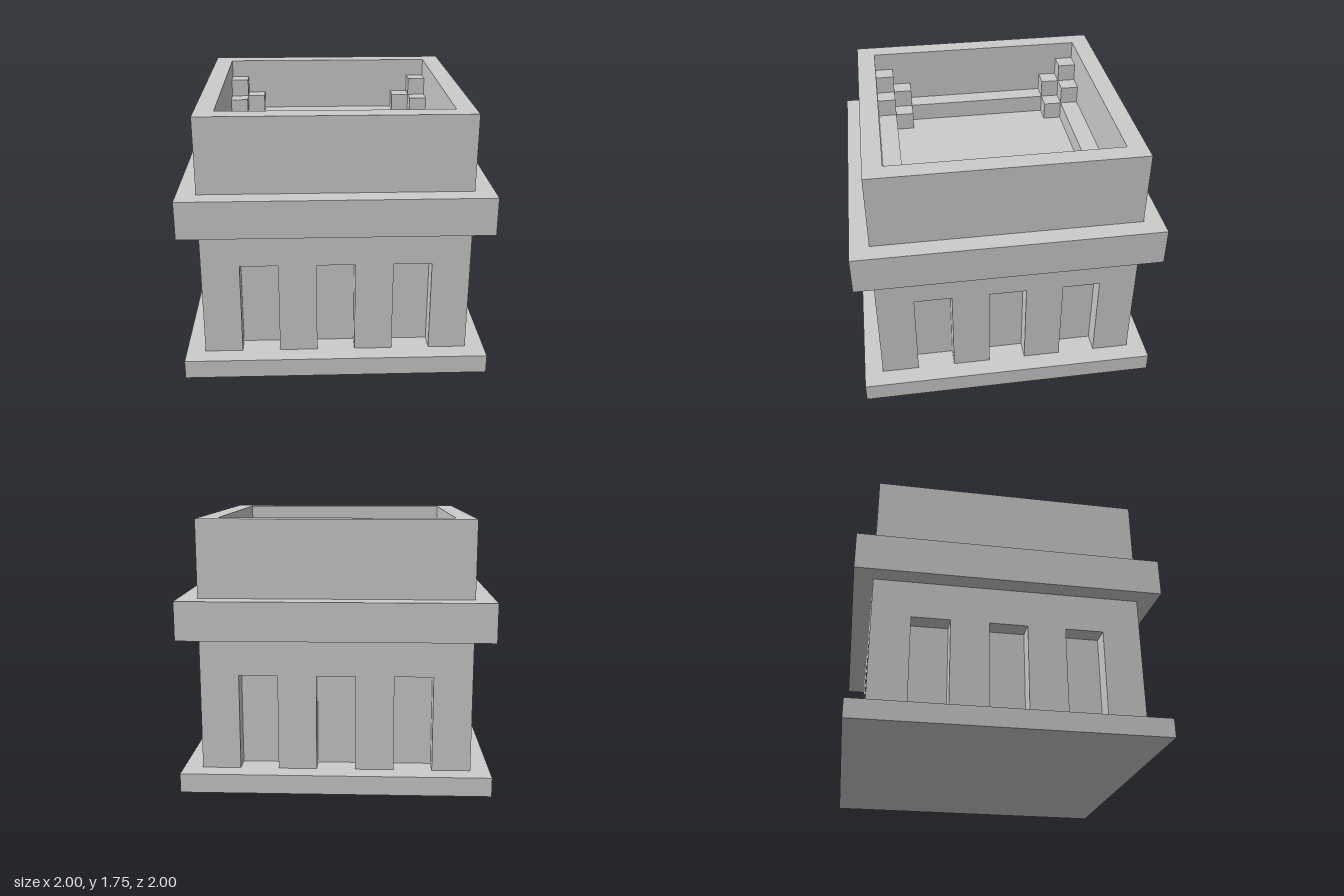
import * as THREE from 'three';

const U = 0.125; // module: every size is a multiple of this
const material = new THREE.MeshStandardMaterial({ color: 0xcccccc, flatShading: true });

function add(parent, name, geometry) {
  const mesh = new THREE.Mesh(geometry, material);
  mesh.name = name;
  parent.add(mesh);
  return mesh;
}

// Square slab or block standing on height y (all in modules)
function block(parent, name, w, h, d, x, y, z) {
  const mesh = add(parent, name, new THREE.BoxGeometry(w * U, h * U, d * U));
  mesh.position.set(x * U, (y + h / 2) * U, z * U);
}

function squarePath(half, Type) {
  const s = half * U;
  return new Type([[-s, -s], [s, -s], [s, s], [-s, s]].map(([x, y]) => new THREE.Vector2(x, y)));
}

// Hollow square frame lying flat on height y
function ring(parent, name, outer, inner, h, y) {
  const shape = squarePath(outer, THREE.Shape);
  shape.holes.push(squarePath(inner, THREE.Path));
  const geometry = new THREE.ExtrudeGeometry(shape, { depth: h * U, bevelEnabled: false });
  geometry.rotateX(-Math.PI / 2);
  add(parent, name, geometry).position.y = y * U;
}

// One-module-thick wall skin with three door-like niches open at the bottom
function wallGeometry(half) {
  const points = [[-half, 0]];
  for (const x of [-4, 0, 4]) points.push([x - 1, 0], [x - 1, 5], [x + 1, 5], [x + 1, 0]);
  points.push([half, 0], [half, 7], [-half, 7]);
  const shape = new THREE.Shape(points.map(([x, y]) => new THREE.Vector2(x * U, y * U)));
  return new THREE.ExtrudeGeometry(shape, { depth: U, bevelEnabled: false });
}

export function createModel() {
  const model = new THREE.Group();
  model.name = 'squareTower';

  block(model, 'basePlinth', 16, 1, 16, 0, 0, 0);
  block(model, 'wallCore', 12, 7, 12, 0, 1, 0);

  // Niched walls; the side walls fit between the front and back ones
  ['frontWall', 'leftWall', 'backWall', 'rightWall'].forEach((name, i) => {
    const side = new THREE.Group();
    side.name = name;
    side.rotation.y = i * Math.PI / 2;
    add(side, name + 'Niches', wallGeometry(i % 2 ? 6 : 7)).position.set(0, U, 6 * U);
    model.add(side);
  });

  block(model, 'cornice', 16, 2, 16, 0, 8, 0);
  ring(model, 'parapet', 7, 6, 4, 10);
  ring(model, 'innerLedge', 6, 5, 1, 10);

  // Stepped blocks in each inner corner
  for (const sx of [-1, 1]) {
    for (const sz of [-1, 1]) {
      const corner = new THREE.Group();
      corner.name = 'cornerSteps';
      block(corner, 'cornerPost', 1, 2, 1, sx * 5.5, 11, sz * 5.5);
      block(corner, 'middleStepA', 1, 1, 1, sx * 4.5, 11, sz * 5.5);
      block(corner, 'middleStepB', 1, 1, 1, sx * 5.5, 11, sz * 4.5);
      block(corner, 'lowStep', 1, 1, 1, sx * 4.5, 10, sz * 4.5);
      model.add(corner);
    }
  }
  return model;
}
